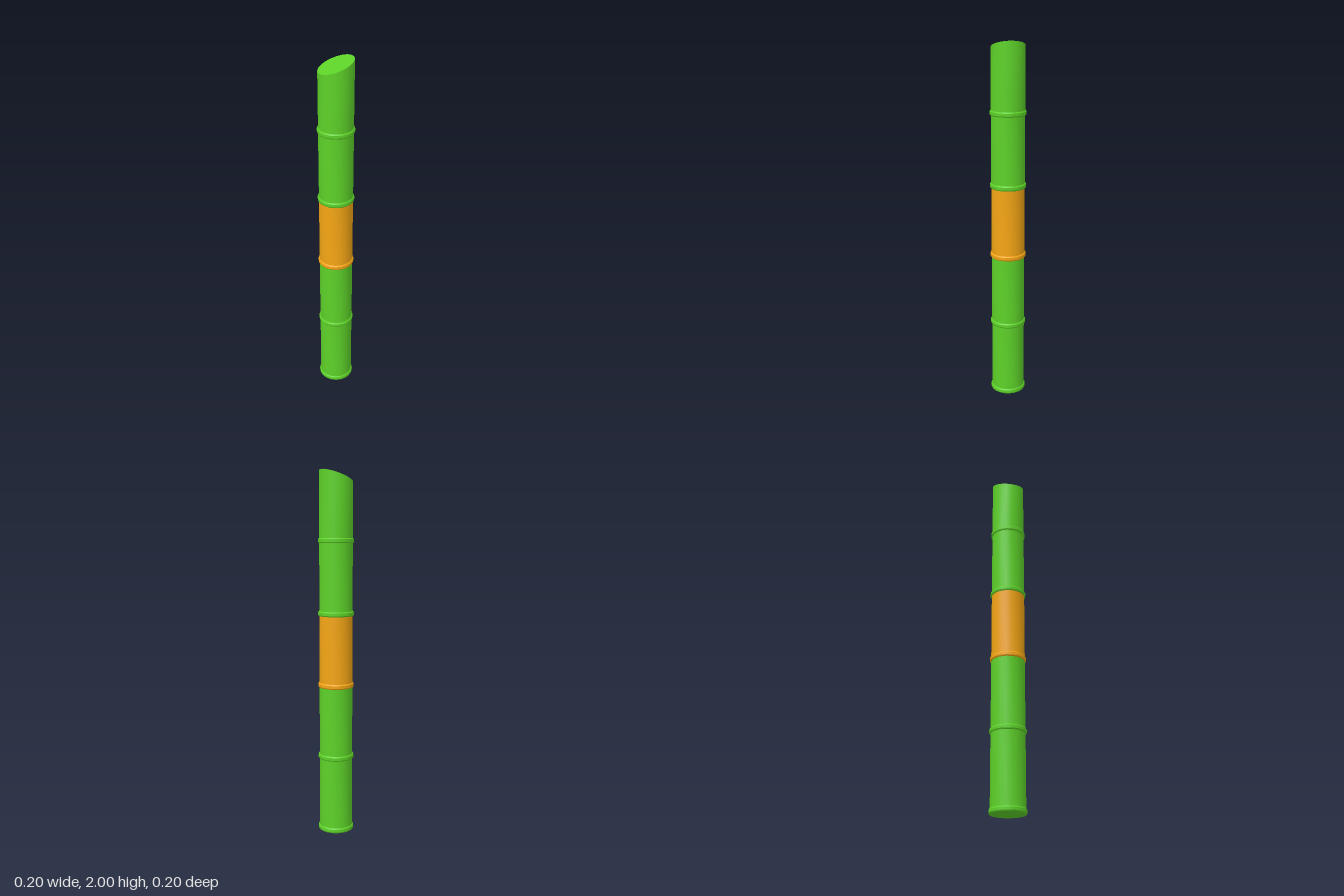
import * as THREE from 'three';
import { toCreasedNormals } from 'three/addons/utils/BufferGeometryUtils.js';

const SIDES = 20;
const RADIUS = 0.092;
const RING_RADIUS = 0.0985;
const RING_HEIGHT = 0.027;
const JOINTS = [0, 0.415, 0.82, 1.217, 1.612]; // foot of each cane section
const CUT = { height: 1.967, rise: 0.36, angle: 0.61 }; // slanted top plane

// Solid of revolution with smooth sides and crisp profile corners
function turned(profile) {
  const points = profile.map(([r, y]) => new THREE.Vector2(r, y));
  return toCreasedNormals(new THREE.LatheGeometry(points, SIDES), 0.5);
}

// Bevelled node ring, closed above and below
function ringGeometry() {
  return turned([
    [0, 0], [0.095, 0], [RING_RADIUS, 0.006], [RING_RADIUS, RING_HEIGHT - 0.006],
    [0.094, RING_HEIGHT], [RADIUS - 0.002, RING_HEIGHT],
  ]);
}

// Top section: its upper rim and cap are moved onto the slanted plane
function cutGeometry(bottom) {
  const geometry = new THREE.CylinderGeometry(RADIUS, RADIUS, 1, SIDES);
  const p = geometry.attributes.position;
  const a = CUT.rise * Math.cos(CUT.angle);
  const b = CUT.rise * Math.sin(CUT.angle);
  for (let i = 0; i < p.count; i++) {
    const top = CUT.height + a * p.getX(i) + b * p.getZ(i);
    p.setY(i, p.getY(i) > 0 ? top : bottom);
  }
  return toCreasedNormals(geometry, 0.5);
}

export function createModel() {
  const model = new THREE.Group();
  model.name = 'bambooPole';
  const green = new THREE.MeshStandardMaterial({ color: 0x5dd228 });
  const orange = new THREE.MeshStandardMaterial({ color: 0xf5a614 });

  JOINTS.forEach((y, i) => {
    const section = new THREE.Group();
    section.name = `section${i + 1}`;
    const material = i === 2 ? orange : green;

    const ring = new THREE.Mesh(ringGeometry(), material);
    ring.name = 'nodeRing';
    ring.position.y = y;

    const last = i === JOINTS.length - 1;
    const stalk = new THREE.Mesh(
      last ? cutGeometry(y + 0.01) : turned([[RADIUS, y + 0.01], [RADIUS, JOINTS[i + 1]]]),
      material
    );
    stalk.name = last ? 'cutStalk' : 'stalk';

    section.add(ring, stalk);
    model.add(section);
  });
  return model;
}
